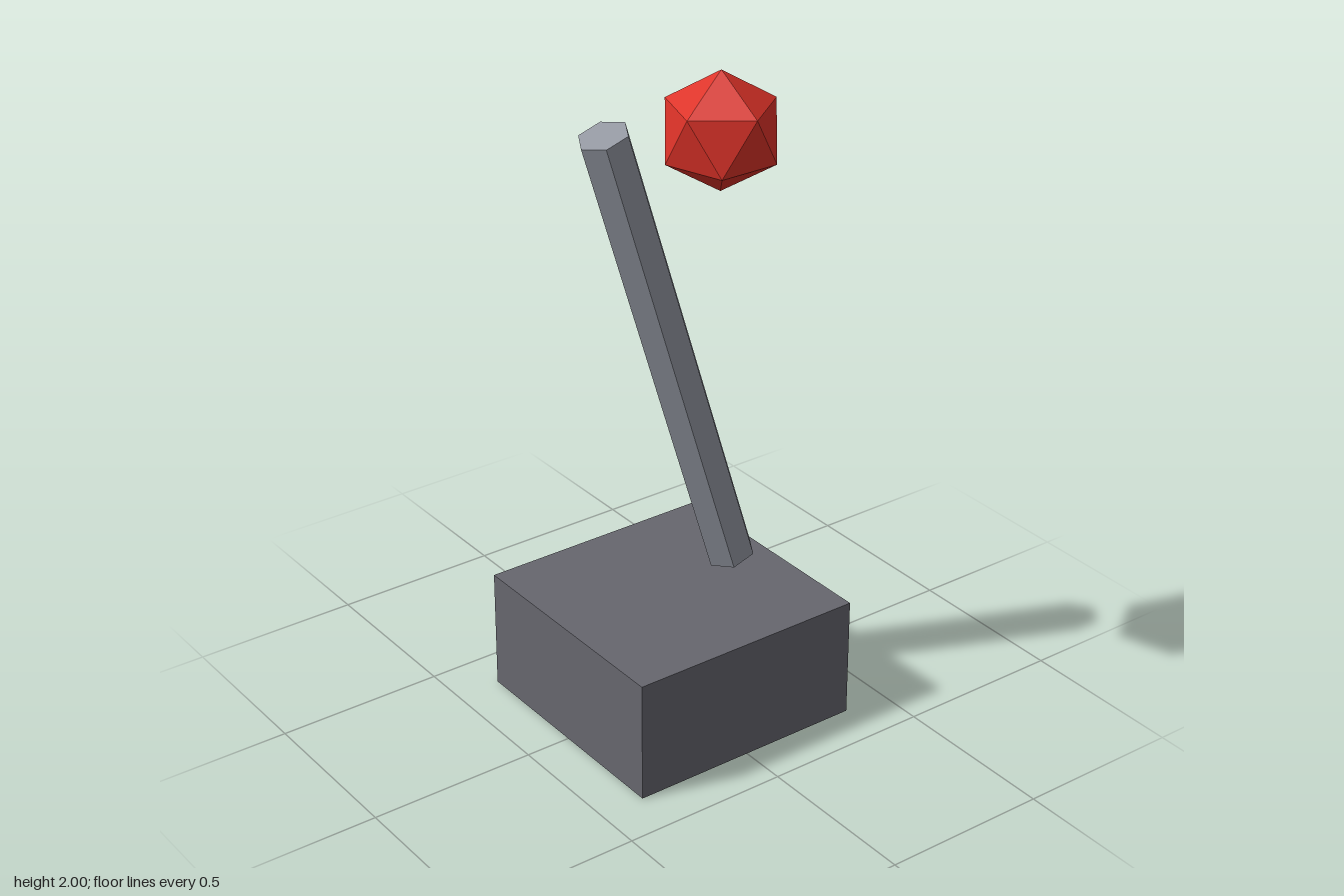
import * as THREE from 'three';

const flat = (name, color) => {
  const m = new THREE.MeshStandardMaterial({ color, flatShading: true });
  m.name = name;
  return m;
};

export function createModel() {
  const model = new THREE.Group();
  model.name = 'lever';

  const add = (name, geometry, material, x, y, z) => {
    const mesh = new THREE.Mesh(geometry, material);
    mesh.name = name;
    mesh.position.set(x, y, z);
    model.add(mesh);
    return mesh;
  };

  // Square block base
  add('base', new THREE.BoxGeometry(0.727, 0.364, 0.727), flat('dark grey', 0x66666e), -0.003, 0.182, 0);

  // Hexagonal shaft, tilted forward and floating just above the base
  const shaft = add('shaft', new THREE.CylinderGeometry(0.073, 0.073, 1.454, 6),
    flat('steel grey', 0x9498a2), -0.003, 1.107, 0);
  shaft.rotation.x = 0.3;

  // Faceted knob beside the shaft top, turned to stand on a corner
  const knobShape = new THREE.IcosahedronGeometry(0.168, 0);
  knobShape.rotateZ(-Math.atan(2 / (1 + Math.sqrt(5))));
  knobShape.scale(1, 0.988, 1);
  add('knob', knobShape, flat('red', 0xdc3228), 0.214, 1.834, 0);

  return model;
}
